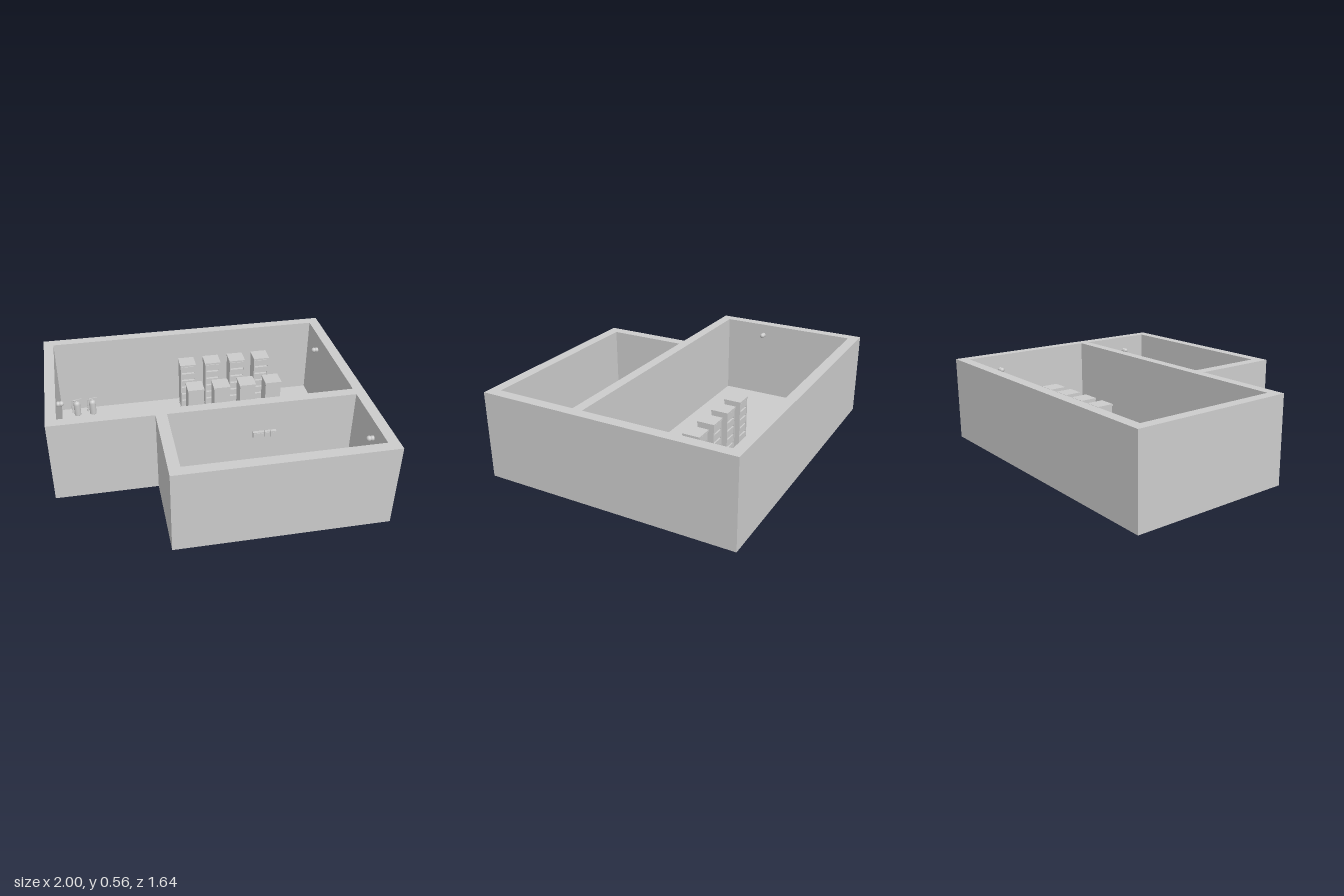
import * as THREE from 'three';

const mat = new THREE.MeshStandardMaterial({ color: 0xcccccc });
const FLOOR = 0.01, HEIGHT = 0.557;

function add(parent, name, geometry, x = 0, y = 0, z = 0) {
  const mesh = new THREE.Mesh(geometry, mat);
  mesh.name = name;
  mesh.position.set(x, y, z);
  parent.add(mesh);
  return mesh;
}
const box = (w, h, d) => new THREE.BoxGeometry(w, h, d);

// Plan coordinates are [x, z]; the extrusion is turned to rise along y
function planExtrude(outline, holes, height) {
  const points = list => list.map(([x, z]) => new THREE.Vector2(x, -z));
  const shape = new THREE.Shape(points(outline));
  shape.holes = holes.map(h => new THREE.Path(points(h)));
  return new THREE.ExtrudeGeometry(shape, { depth: height, bevelEnabled: false }).rotateX(-Math.PI / 2);
}
// Wound against the outline so the room walls face inwards
const rect = (x0, x1, z0, z1) => [[x0, z0], [x0, z1], [x1, z1], [x1, z0]];

// Cabinet with an open front (+z) holding a stack of units
function serverRack() {
  const g = new THREE.Group();
  g.name = 'serverRack';
  const w = 0.108, h = 0.366, t = 0.007, cap = 0.012, units = 6;
  add(g, 'rackBack', box(w, h, t), 0, h / 2, -w / 2 + t / 2);
  for (const s of [-1, 1]) add(g, 'rackSide', box(t, h, w - t), s * (w - t) / 2, h / 2, t / 2);
  for (const y of [cap / 2, h - cap / 2]) add(g, 'rackCap', box(w + 0.006, cap, w + 0.006), 0, y, 0);
  const pitch = (h - 2 * cap) / units;
  for (let i = 0; i < units; i++) {
    add(g, 'serverUnit', box(w - 2 * t, pitch - 0.012, w - t - 0.002), 0, cap + pitch * (i + 0.5), t / 2 - 0.001);
  }
  return g;
}

// Round-shouldered bottle with a valve, lever and curved hose lying along x
function extinguisher() {
  const g = new THREE.Group();
  g.name = 'fireExtinguisher';
  const profile = [[0, 0], [0.022, 0], [0.024, 0.003], [0.024, 0.09], [0.0225, 0.1], [0.018, 0.108], [0.01, 0.113], [0.007, 0.115], [0.007, 0.124], [0, 0.124]];
  add(g, 'bottle', new THREE.LatheGeometry(profile.map(p => new THREE.Vector2(...p)), 24));
  add(g, 'valve', box(0.014, 0.012, 0.009), 0, 0.124, 0);
  add(g, 'lever', box(0.036, 0.005, 0.007), 0.02, 0.131, 0).rotation.z = 0.15;
  const hose = new THREE.CatmullRomCurve3([[-0.004, 0.124], [-0.027, 0.122], [-0.036, 0.09], [-0.033, 0.045]]
    .map(([x, y]) => new THREE.Vector3(x, y, 0)));
  add(g, 'hose', new THREE.TubeGeometry(hose, 16, 0.004, 8));
  add(g, 'nozzle', new THREE.CylinderGeometry(0.004, 0.007, 0.025, 10), -0.033, 0.035, 0);
  return g;
}

// Wall fitting with a round mount and a round head reaching out along +x
function wallCamera() {
  const g = new THREE.Group();
  g.name = 'wallCamera';
  add(g, 'wallMount', new THREE.SphereGeometry(0.017, 16, 12), 0.01, 0, 0);
  add(g, 'cameraHead', new THREE.SphereGeometry(0.017, 16, 12), 0.03, 0, 0);
  return g;
}

export function createModel() {
  const model = new THREE.Group();
  model.name = 'serverRoomBuilding';

  // Floor slab and one wall ring around both rooms
  const outline = [[-1, -0.819], [1, -0.819], [1, 0.819], [-0.342, 0.819], [-0.342, 0.232], [-1, 0.232]];
  add(model, 'floor', planExtrude(outline, [], FLOOR));
  const rooms = [rect(-0.933, 0.932, -0.752, 0.167), rect(-0.272, 0.932, 0.232, 0.75)];
  add(model, 'walls', planExtrude(outline, rooms, HEIGHT - FLOOR), 0, FLOOR, 0);

  // Two rows of racks facing each other across an aisle
  for (const [z, turn] of [[-0.667, 0], [-0.331, Math.PI]]) {
    for (let i = 0; i < 4; i++) {
      const rack = serverRack();
      rack.position.set(-0.003 + i * 0.181, FLOOR, z);
      rack.rotation.y = turn;
      model.add(rack);
    }
  }

  // Extinguisher pairs, one in each room
  for (const [x, z, turn] of [[-0.82, -0.671, 0], [-0.708, -0.671, 0], [0.9, 0.29, Math.PI / 2], [0.9, 0.403, Math.PI / 2]]) {
    const bottle = extinguisher();
    bottle.position.set(x, FLOOR, z);
    bottle.rotation.y = turn;
    model.add(bottle);
  }

  // Cameras high on the side walls
  for (const [x, y, z, turn] of [[-0.933, 0.48, -0.117, 0], [0.932, 0.455, -0.527, Math.PI], [0.932, 0.455, 0.563, Math.PI]]) {
    const camera = wallCamera();
    camera.position.set(x, y, z);
    camera.rotation.y = turn;
    model.add(camera);
  }

  // Control boxes with small face plates on the dividing wall of the small room
  for (const [x0, x1] of [[0.269, 0.341], [0.344, 0.381], [0.384, 0.419]]) {
    const x = (x0 + x1) / 2, w = x1 - x0;
    add(model, 'controlBox', box(w, 0.04, 0.02), x, 0.335, 0.242);
    add(model, 'facePlate', box(w - 0.014, 0.026, 0.004), x, 0.335, 0.253);
  }
  return model;
}
